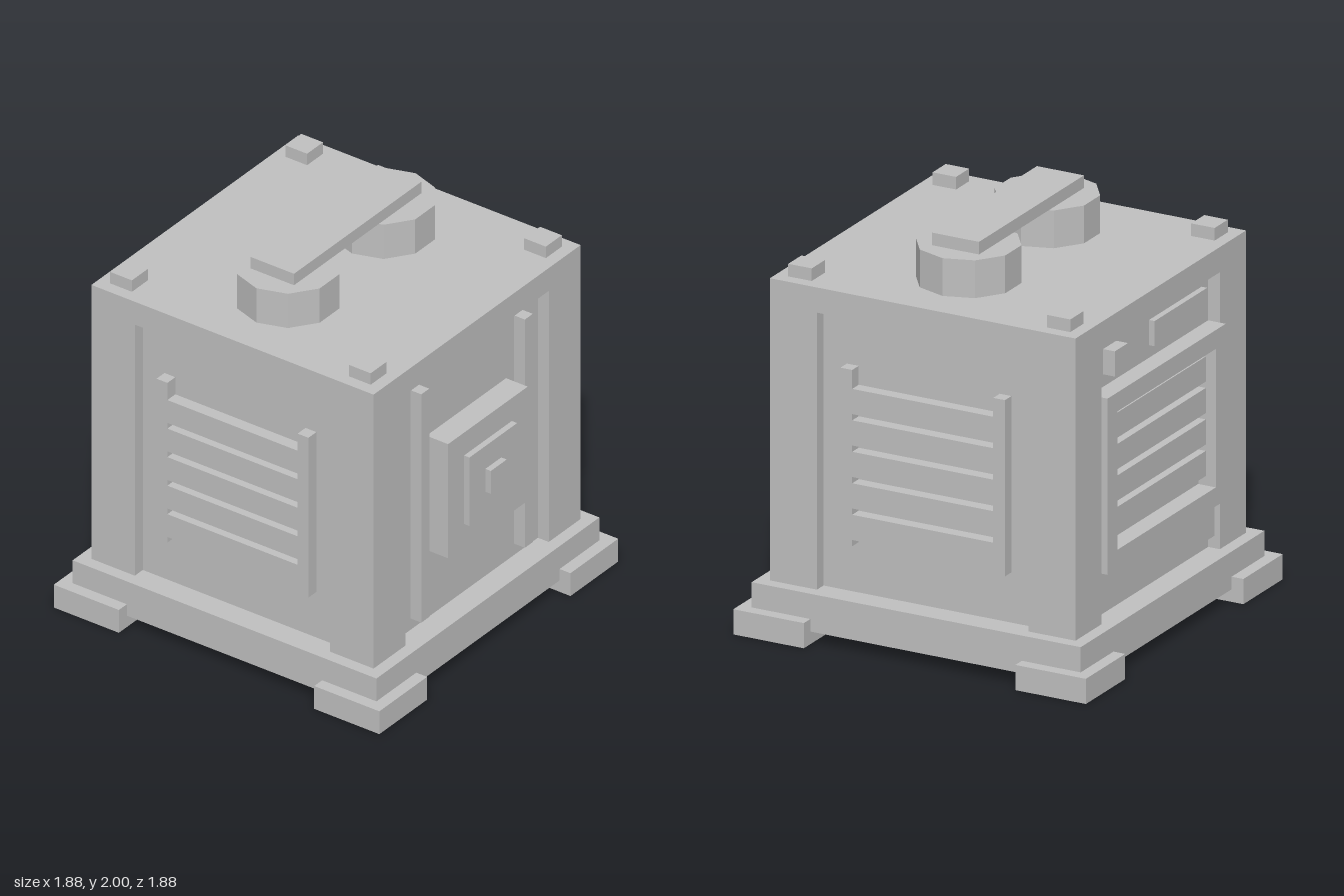
import * as THREE from 'three';

const metal = new THREE.MeshStandardMaterial({ color: 0xc0c0c0 });
metal.name = 'greyMetal';

// Box given by its lower and upper corners
function box(parent, name, [x0, y0, z0], [x1, y1, z1]) {
  const geo = new THREE.BoxGeometry(x1 - x0, y1 - y0, z1 - z0);
  const mesh = new THREE.Mesh(geo, metal);
  mesh.position.set((x0 + x1) / 2, (y0 + y1) / 2, (z0 + z1) / 2);
  mesh.name = name;
  parent.add(mesh);
  return mesh;
}

function group(parent, name) {
  const g = new THREE.Group();
  g.name = name;
  parent.add(g);
  return g;
}

const OUT = 0.8125, FLOOR = 0.75, OPEN = 0.5625;

// Side vent, built facing +z: two posts with five slats between
function sideVent(parent, name, angle) {
  const g = group(parent, name);
  for (const s of [-1, 1]) {
    const x = s * 0.40625;
    box(g, 'ventPost', [x - 0.03125, 0.5, FLOOR], [x + 0.03125, 1.375, OUT]);
  }
  for (let i = 0; i < 5; i++) {
    const y = 0.53125 + i * 0.15625;
    box(g, 'ventSlat', [-0.375, y, FLOOR], [0.375, y + 0.125, OUT]);
  }
  g.rotation.y = angle;
}

export function createModel() {
  const model = new THREE.Group();
  model.name = 'machineCrate';

  // Base slab and feet
  box(model, 'base', [-0.875, 0.0625, -0.875], [0.875, 0.25, 0.875]);
  for (const sx of [-1, 1]) for (const sz of [-1, 1]) {
    const x = sx * 0.75, z = sz * 0.75;
    box(model, 'foot', [x - 0.1875, 0, z - 0.1875], [x + 0.1875, 0.125, z + 0.1875]);
    // Corner pillars frame the recessed walls
    const c = (OUT + OPEN) / 2, h = (OUT - OPEN) / 2;
    box(model, 'cornerPillar', [sx * c - h, 0.25, sz * c - h], [sx * c + h, 1.625, sz * c + h]);
    // Studs on the lid
    const t = 0.6875;
    box(model, 'lidStud', [sx * t - 0.0625, 1.75, sz * t - 0.0625], [sx * t + 0.0625, 1.8125, sz * t + 0.0625]);
  }

  // Recessed core and lid
  box(model, 'core', [-FLOOR, 0.25, -FLOOR], [FLOOR, 1.625, FLOOR]);
  box(model, 'lid', [-OUT, 1.625, -OUT], [OUT, 1.75, OUT]);

  // Ten-sided caps joined by a handle bar
  for (const s of [-1, 1]) {
    const geo = new THREE.CylinderGeometry(0.25, 0.25, 0.1875, 10).toNonIndexed();
    geo.rotateY(Math.PI / 2);
    geo.computeVertexNormals();
    const cap = new THREE.Mesh(geo, metal);
    cap.position.set(s * 0.375, 1.84375, 0);
    cap.name = 'topCap';
    model.add(cap);
  }
  box(model, 'handle', [-0.5, 1.9375, -0.125], [0.5, 2, 0.125]);

  // Front: two rails and a stepped control block
  const front = group(model, 'frontPanel');
  for (const s of [-1, 1]) {
    const x = s * 0.40625;
    box(front, 'frontRail', [x - 0.03125, 0.3125, FLOOR], [x + 0.03125, 1.5625, OUT]);
  }
  box(front, 'controlBlock', [-0.3125, 0.625, FLOOR], [0.3125, 1.25, 0.875]);
  box(front, 'controlPlate', [-0.1875, 0.75, 0.875], [0.1875, 1.125, 0.906]);
  box(front, 'controlButton', [-0.0625, 0.875, 0.906], [0.0625, 1, 0.9375]);

  // Side vents
  sideVent(model, 'leftVent', Math.PI / 2);
  sideVent(model, 'rightVent', -Math.PI / 2);

  // Back: framed grille, built facing +z and turned round
  const back = group(model, 'backPanel');
  const shape = new THREE.Shape();
  shape.moveTo(-OPEN, 0.5).lineTo(OPEN, 0.5).lineTo(OPEN, 1.375).lineTo(-OPEN, 1.375).closePath();
  const hole = new THREE.Path();
  const w = 0.46875;
  hole.moveTo(-w, 0.59375).lineTo(-w, 1.28125).lineTo(w, 1.28125).lineTo(w, 0.59375).closePath();
  shape.holes.push(hole);
  const frameGeo = new THREE.ExtrudeGeometry(shape, { depth: 0.09375, bevelEnabled: false });
  const frame = new THREE.Mesh(frameGeo, metal);
  frame.position.z = FLOOR;
  frame.name = 'grilleFrame';
  back.add(frame);
  for (let i = 0; i < 4; i++) {
    const y = 0.64 + i * 0.15625;
    box(back, 'grilleSlat', [-w, y, FLOOR], [w, y + 0.125, 0.79]);
  }
  // Plate under the grille, small knob and label strip above it
  box(back, 'lowerPlate', [-OPEN, 0.3125, FLOOR], [OPEN, 0.5, 0.785]);
  box(back, 'backKnob', [-0.4375, 1.4375, FLOOR], [-0.3125, 1.5625, OUT]);
  box(back, 'backStrip', [0, 1.4375, FLOOR], [0.5, 1.5625, 0.78]);
  back.rotation.y = Math.PI;

  return model;
}
